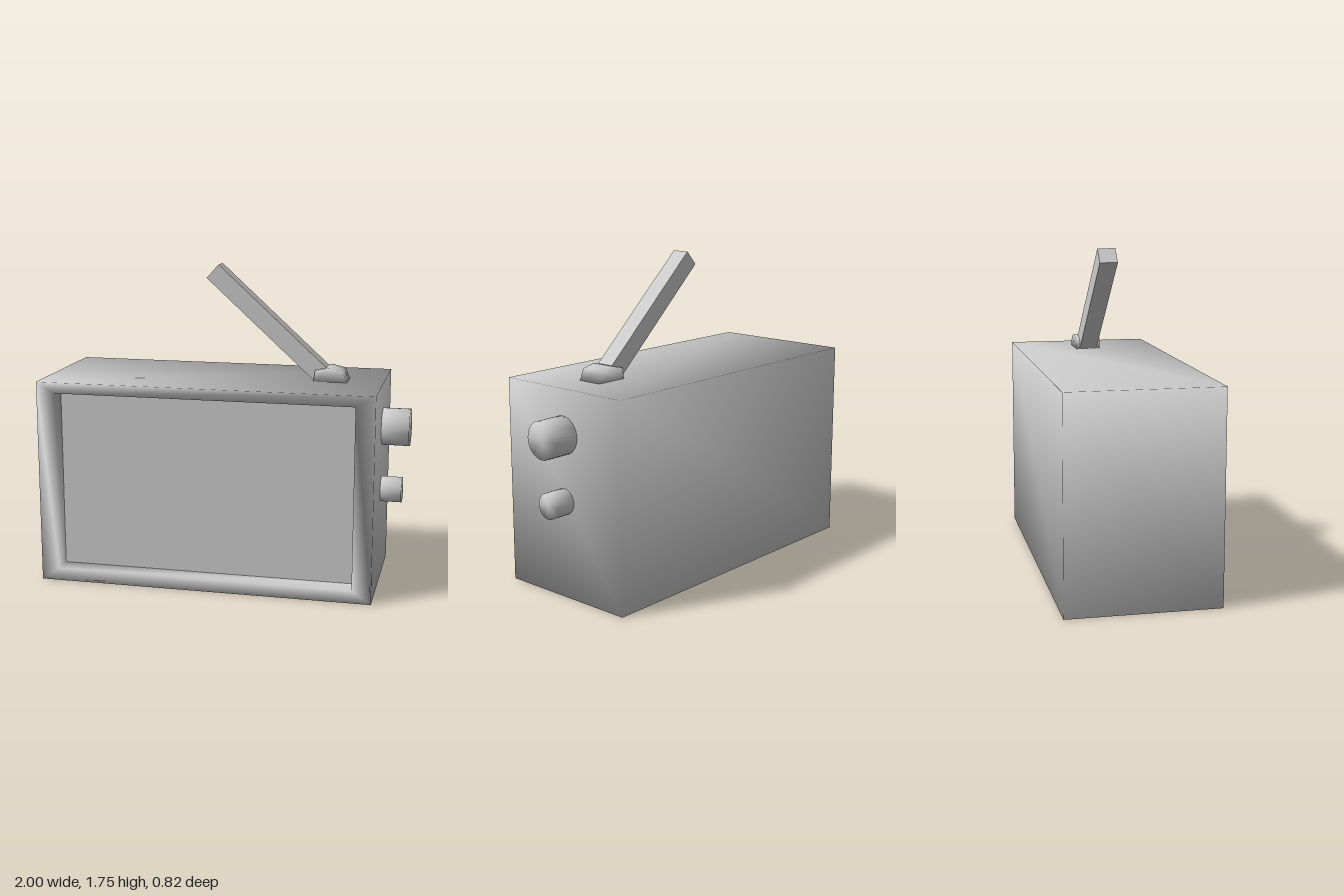
import * as THREE from 'three';
import { mergeVertices } from 'three/addons/utils/BufferGeometryUtils.js';

const material = new THREE.MeshStandardMaterial({ color: 0xcccccc });

// Weld shared corners so that shading flows softly over the edges
function soften(geometry) {
  geometry.deleteAttribute('uv');
  geometry.deleteAttribute('normal');
  const welded = mergeVertices(geometry, 1e-4);
  welded.computeVertexNormals();
  return welded;
}

function add(group, name, geometry, x = 0, y = 0, z = 0) {
  const mesh = new THREE.Mesh(geometry, material);
  mesh.name = name;
  mesh.position.set(x, y, z);
  group.add(mesh);
  return mesh;
}

// Hollow-fronted case lofted through rectangular rings: back, front, opening, recess
function caseGeometry(rings) {
  const positions = [], index = [0, 2, 1, 0, 3, 2];
  rings.forEach(([x0, x1, y0, y1, z], r) => {
    positions.push(x0, y0, z, x1, y0, z, x1, y1, z, x0, y1, z);
    if (r === 0) return;
    for (let k = 0; k < 4; k++) {
      const a = (r - 1) * 4 + k, b = (r - 1) * 4 + (k + 1) % 4;
      index.push(a, b, b + 4, a, b + 4, a + 4);
    }
  });
  const geometry = new THREE.BufferGeometry();
  geometry.setAttribute('position', new THREE.Float32BufferAttribute(positions, 3));
  geometry.setIndex(index);
  geometry.computeVertexNormals();
  return geometry;
}

export function createModel() {
  const group = new THREE.Group();

  // Case with recessed front
  add(group, 'case', caseGeometry([
    [-1, 0.85, 0, 1.13, -0.408],
    [-1, 0.85, 0, 1.13, 0.408],
    [-0.9, 0.745, 0.07, 1.07, 0.408],
    [-0.9, 0.745, 0.07, 1.07, 0.298],
  ]));

  // Flat screen at the bottom of the recess
  add(group, 'screen', new THREE.PlaneGeometry(1.645, 1), -0.0775, 0.57, 0.298);

  // Side knobs: centre height, radius, length
  [['upperKnob', 0.885, 0.102, 0.15], ['lowerKnob', 0.53, 0.07, 0.115]].forEach(([name, y, r, length]) => {
    const knob = new THREE.CylinderGeometry(r, r, length, 32).rotateZ(-Math.PI / 2);
    add(group, name, soften(knob), 0.85 + length / 2, y, 0);
  });

  // Faceted antenna mount
  const profile = new THREE.Shape([
    [0.47, 1.13], [0.655, 1.13], [0.63, 1.19], [0.555, 1.208], [0.48, 1.19],
  ].map(([x, y]) => new THREE.Vector2(x, y)));
  const mount = new THREE.ExtrudeGeometry(profile, { depth: 0.14, bevelEnabled: false });
  add(group, 'antennaMount', soften(mount.translate(0, 0, -0.07)));

  // Square antenna leaning to the right
  const antenna = add(group, 'antenna', new THREE.BoxGeometry(0.812, 0.1, 0.1), 0.205, 1.442, 0);
  antenna.rotation.z = -Math.atan2(0.545, 0.6);

  return group;
}
